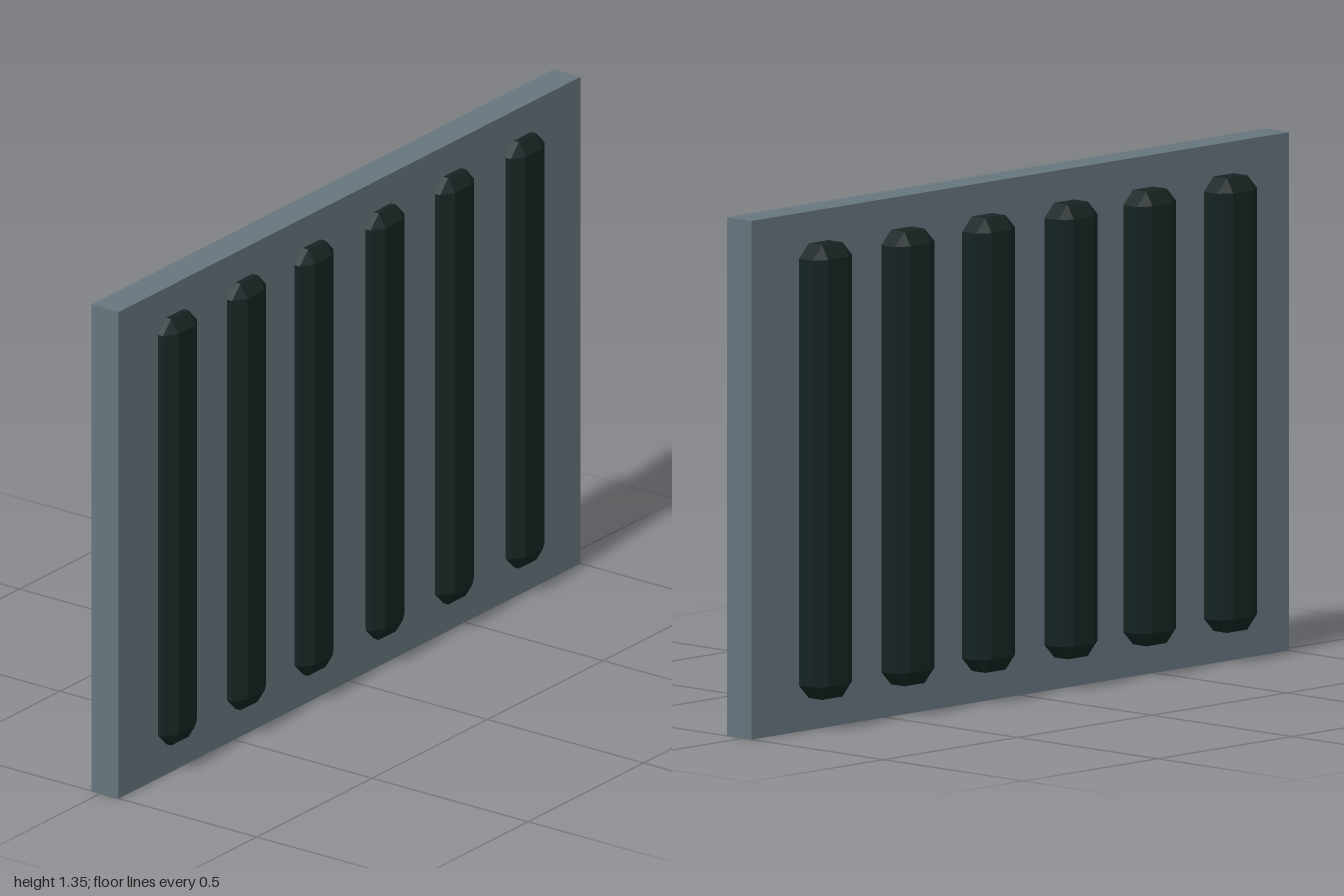
import * as THREE from 'three';
import { ConvexGeometry } from 'three/addons/geometries/ConvexGeometry.js';

// Box with every edge and corner cut by a chamfer (half sizes h, cut sizes c)
function chamferedBox(h, c) {
  const points = [];
  for (const sx of [-1, 1]) for (const sy of [-1, 1]) for (const sz of [-1, 1]) {
    for (let axis = 0; axis < 3; axis++) {
      const [x, y, z] = h.map((v, i) => (i === axis ? v : v - c[i]));
      points.push(new THREE.Vector3(sx * x, sy * y, sz * z));
    }
  }
  return new ConvexGeometry(points);
}

export function createModel() {
  const group = new THREE.Group();
  const panelMaterial = new THREE.MeshStandardMaterial({ color: 0x66757d, flatShading: true });
  const barMaterial = new THREE.MeshStandardMaterial({ color: 0x162423, flatShading: true });

  // Flat upright panel, slightly off centre from the bars
  const panel = new THREE.Mesh(new THREE.BoxGeometry(0.087, 1.353, 2), panelMaterial);
  panel.name = 'panel';
  panel.position.set(0.0145, 0.6765, 0);
  group.add(panel);

  // Six vertical bars passing through the panel
  const barGeometry = chamferedBox([0.0975, 0.593, 0.0735], [0.022, 0.036, 0.036]);
  [0.757, 0.457, 0.164, -0.142, -0.443, -0.749].forEach((z, i) => {
    const bar = new THREE.Mesh(barGeometry, barMaterial);
    bar.name = `bar${i + 1}`;
    bar.position.set(-0.0015, 0.677, z);
    group.add(bar);
  });

  return group;
}
